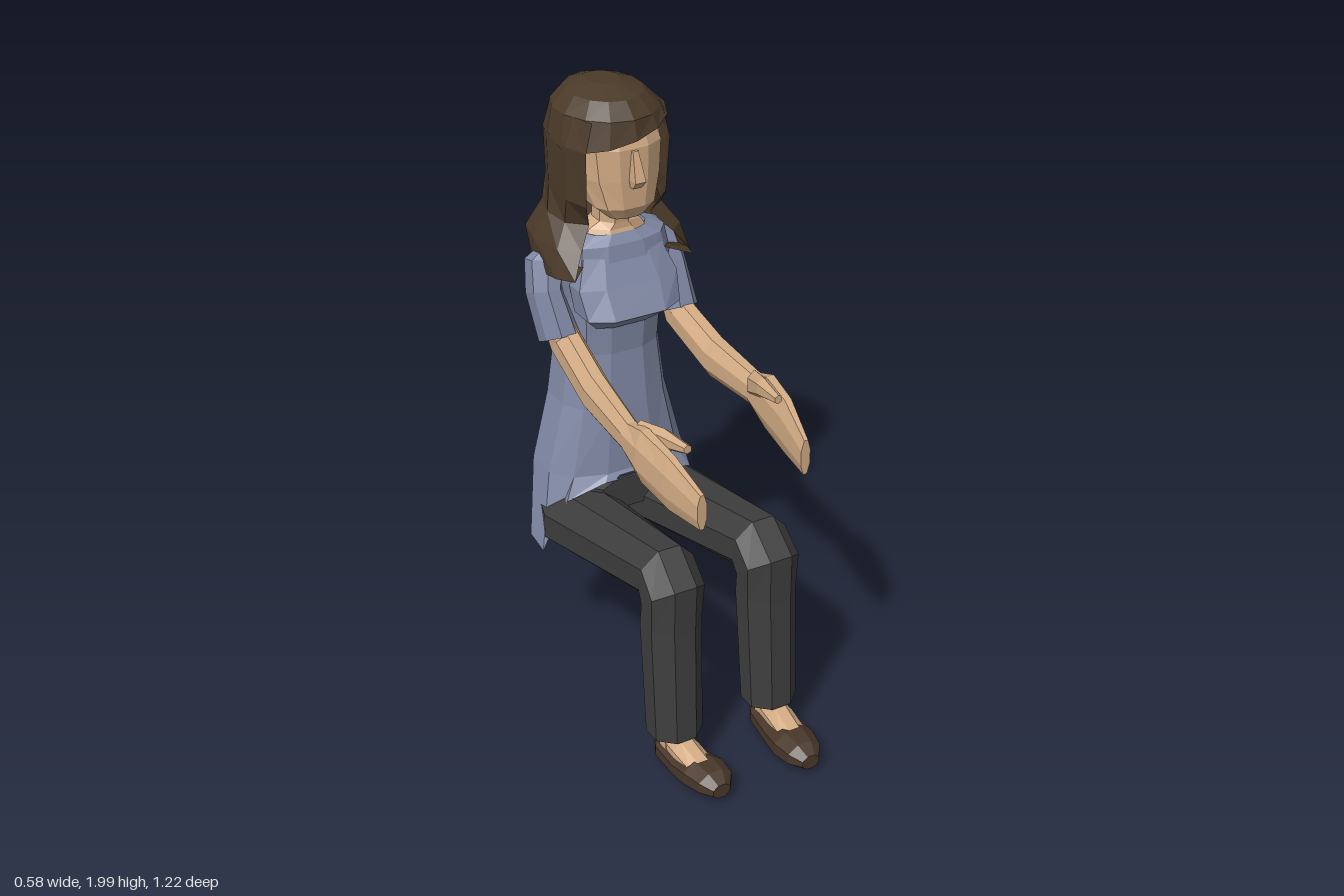
import * as THREE from 'three';

const mat = (color) => new THREE.MeshStandardMaterial({ color, flatShading: true, side: THREE.DoubleSide });
const V = (x, y, z) => new THREE.Vector3(x, y, z);
const bend = (v, e) => Math.sign(v) * Math.pow(Math.abs(v), e);

// Cross-section: half-width w along x, half-depth h along a direction tilted t from z towards y
function ring([x, y, z], w, h, t = 0, n = 8, e = 1) {
  const k = e === 1 ? 1 / Math.cos(Math.PI / n) : 1;
  return Array.from({ length: n }, (_, i) => {
    const a = ((i + 0.5) / n) * Math.PI * 2;
    const d = bend(Math.sin(a), e) * h * k;
    return V(x + bend(Math.cos(a), e) * w * k, y + d * Math.sin(t), z + d * Math.cos(t));
  });
}

// Horizontal cross-section given by its front and back depth
const level = (y, w, zf, zb, n = 12, e = 0.8) => ring([0, y, (zf + zb) / 2], w, (zf - zb) / 2, 0, n, e);

// Skin a row of cross-sections, facing outwards
function loft(rings, { caps = true, wrap = true } = {}) {
  const tris = [];
  const n = rings[0].length;
  for (let r = 0; r + 1 < rings.length; r++) {
    for (let i = 0; i < (wrap ? n : n - 1); i++) {
      const j = (i + 1) % n;
      const [a, b, c, d] = [rings[r][i], rings[r][j], rings[r + 1][j], rings[r + 1][i]];
      tris.push([a, b, c], [a, c, d]);
    }
  }
  const mean = (list) => list.reduce((s, p) => s.add(p), V(0, 0, 0)).divideScalar(list.length);
  if (caps) {
    const first = rings[0], last = rings[rings.length - 1];
    const m0 = mean(first), m1 = mean(last);
    for (let i = 0; i < n; i++) {
      const j = (i + 1) % n;
      tris.push([first[j], first[i], m0], [last[i], last[j], m1]);
    }
  }
  const o = mean(rings.flat());
  let volume = 0;
  for (const [a, b, c] of tris) volume += a.clone().sub(o).dot(b.clone().sub(o).cross(c.clone().sub(o)));
  const points = tris.flatMap(([a, b, c]) => (volume < 0 ? [a, c, b] : [a, b, c]));
  const g = new THREE.BufferGeometry().setFromPoints(points);
  g.computeVertexNormals();
  return g;
}

export function createModel() {
  const group = new THREE.Group();
  const skin = mat(0xd2ab84), hairMat = mat(0x4b3a29), shirt = mat(0x828aa6), cloth = mat(0x3e3e3e), leather = mat(0x49382a);
  const add = (name, geometry, material) => {
    const m = new THREE.Mesh(geometry, material);
    m.name = name;
    group.add(m);
  };

  // Tunic with a hem that hangs low at the sides and back
  const hem = level(0, 0.3, -0.235, -0.5);
  for (const p of hem) {
    const s = (p.z + 0.3675) / 0.1325;
    p.y = s > 0 ? 0.455 + 0.25 * Math.sqrt(Math.max(0, (s - 0.35) / 0.65)) : 0.45 - 0.06 * s;
  }
  add('tunic', loft([
    level(1.54, 0.11, -0.29, -0.46),
    level(1.51, 0.18, -0.27, -0.5),
    level(1.42, 0.2, -0.25, -0.54),
    level(1.32, 0.175, -0.255, -0.555),
    level(1.14, 0.165, -0.27, -0.565),
    level(0.95, 0.19, -0.26, -0.58),
    level(0.72, 0.25, -0.25, -0.585),
    hem,
  ], { caps: false }), shirt);
  add('chest', loft([
    level(1.49, 0.14, -0.275, -0.36, 8, 0.7),
    level(1.39, 0.18, -0.225, -0.36, 8, 0.7),
    level(1.3, 0.17, -0.175, -0.36, 8, 0.7),
    level(1.24, 0.11, -0.255, -0.36, 8, 0.7),
  ]), shirt);

  // Neck, head and nose
  add('neck', loft([
    level(1.5, 0.12, -0.28, -0.46, 8, 1),
    level(1.55, 0.09, -0.3, -0.44, 8, 1),
    level(1.57, 0.055, -0.3, -0.43, 8, 1),
    level(1.68, 0.055, -0.29, -0.43, 8, 1),
  ]), skin);
  add('head', loft([
    level(1.61, 0.06, -0.235, -0.33, 12),
    level(1.65, 0.105, -0.212, -0.4, 12),
    level(1.74, 0.135, -0.21, -0.5, 12),
    level(1.84, 0.145, -0.21, -0.53, 12),
    level(1.92, 0.12, -0.24, -0.52, 12),
  ]), skin);
  add('nose', loft([
    level(1.835, 0.012, -0.2, -0.24, 4),
    level(1.745, 0.024, -0.165, -0.24, 4),
    level(1.72, 0.02, -0.19, -0.24, 4),
  ]), skin);

  // Hair: a cap with a slanted fringe, then a curtain open at the face
  const fringe = level(1.85, 0.18, -0.195, -0.587, 14, 0.95);
  for (const p of fringe) if (p.z > -0.35) p.y = 1.87 + 0.25 * p.x;
  add('hairCap', loft([
    level(2.0, 0.05, -0.35, -0.47, 14, 1),
    level(1.975, 0.115, -0.265, -0.54, 14, 1),
    level(1.93, 0.158, -0.215, -0.575, 14, 1),
    fringe,
  ]), hairMat);
  const curtain = (yFront, yBack, w, zf, zb, gap, e = 0.8) => Array.from({ length: 11 }, (_, i) => {
    const a = gap + (i / 10) * (Math.PI * 2 - gap * 2);
    const c = Math.cos(a);
    const f = (bend(c, e) + 1) / (bend(Math.cos(gap), e) + 1);
    return V(bend(Math.sin(a), e) * w, yBack + (yFront - yBack) * f, zb + (zf - zb) * f);
  });
  add('hairCurtain', loft([
    curtain(1.93, 1.93, 0.15, -0.25, -0.57, 0.85),
    curtain(1.84, 1.84, 0.178, -0.25, -0.585, 0.85),
    curtain(1.66, 1.7, 0.178, -0.265, -0.57, 0.8),
    curtain(1.58, 1.62, 0.19, -0.31, -0.555, 0.5),
    curtain(1.52, 1.51, 0.23, -0.26, -0.61, 0.6, 0.65),
    curtain(1.45, 1.39, 0.235, -0.215, -0.56, 0.95, 0.65),
    curtain(1.46, 1.42, 0.17, -0.28, -0.48, 0.95),
  ], { caps: false, wrap: false }), hairMat);

  // Hips
  const up = Math.PI / 2;
  add('hips', loft([
    ring([0, 0.62, -0.5], 0.17, 0.06, up),
    ring([0, 0.63, -0.38], 0.2, 0.08, up),
    ring([0, 0.65, -0.24], 0.11, 0.06, up),
  ]), cloth);

  for (const s of [1, -1]) {
    const side = s > 0 ? 'left' : 'right';
    const drop = s > 0 ? 0 : 0.05; // the right hand hangs lower, closer in and further out

    // Sleeve and arm
    add(side + 'Sleeve', loft([
      ring([s * 0.15, 1.505, -0.42], 0.04, 0.04, 0.2),
      ring([s * 0.195, 1.45, -0.43], 0.062, 0.065, 0.25),
      ring([s * 0.218, 1.35, -0.405], 0.05, 0.076, 0.35),
      ring([s * (0.228 - drop * 0.7), 1.2, -0.355], 0.06, 0.073, 0.46),
    ]), shirt);
    const reach = (x, y, z, k, inward = 1) => [s * (x - drop * inward), y - drop * k, z + drop * 0.9 * k];
    add(side + 'Arm', loft([
      ring(reach(0.22, 1.28, -0.38, 0, 0.4), 0.04, 0.055, 0.4),
      ring(reach(0.23, 1.185, -0.335, 0), 0.045, 0.066, 0.9),
      ring(reach(0.24, 1.12, -0.13, 0.2), 0.045, 0.066, 1.5),
      ring(reach(0.245, 1.115, 0.1, 0.6, 0.8), 0.034, 0.052, up),
      ring(reach(0.243, 1.11, 0.18, 0.8, 0.7), 0.034, 0.088, up),
      ring(reach(0.232, 1.09, 0.3, 1, 0.8), 0.028, 0.088, up),
      ring(reach(0.215, 1.05, 0.43, 1), 0.016, 0.058, up),
    ]), skin);
    add(side + 'Thumb', loft([
      ring(reach(0.225, 1.15, 0.12, 0.8, 0.7), 0.024, 0.04, up, 6),
      ring(reach(0.2, 1.185, 0.21, 1, 0.7), 0.022, 0.03, up, 6),
      ring(reach(0.185, 1.2, 0.32, 1, 0.7), 0.012, 0.013, up, 6),
    ]), skin);

    // Trouser leg: thigh, bent knee, shin
    add(side + 'TrouserLeg', loft([
      ring([s * 0.155, 0.57, -0.42], 0.1, 0.07, up),
      ring([s * 0.158, 0.55, -0.32], 0.126, 0.1, up),
      ring([s * 0.165, 0.672, 0.262], 0.09, 0.1, 1.35),
      ring([s * 0.168, 0.62, 0.312], 0.092, 0.098, 0.65),
      ring([s * 0.17, 0.52, 0.302], 0.088, 0.087),
      ring([s * 0.173, 0.13, 0.33], 0.083, 0.078),
    ]), cloth);

    // Ankle, instep and shoe
    add(side + 'Ankle', loft([
      ring([s * 0.175, 0.2, 0.33], 0.043, 0.048),
      ring([s * 0.175, 0.05, 0.335], 0.043, 0.048),
    ]), skin);
    add(side + 'Instep', loft([
      ring([s * 0.175, 0.08, 0.31], 0.04, 0.045, up),
      ring([s * 0.172, 0.08, 0.4], 0.046, 0.047, up),
      ring([s * 0.165, 0.07, 0.5], 0.045, 0.034, up),
    ]), skin);
    const toe = s > 0 ? 0 : -0.018;
    add(side + 'Shoe', loft([
      ring([s * 0.178, 0.045, 0.275], 0.035, 0.035, up),
      ring([s * 0.175, 0.047, 0.31], 0.055, 0.04, up),
      ring([s * 0.168, 0.05, 0.42], 0.066, 0.04, up),
      ring([s * 0.16, 0.058, 0.5 + toe], 0.07, 0.048, up),
      ring([s * 0.156, 0.062, 0.57 + toe], 0.058, 0.042, up),
      ring([s * 0.156, 0.056, 0.61 + toe], 0.03, 0.024, up),
    ]), leather);
  }
  return group;
}
